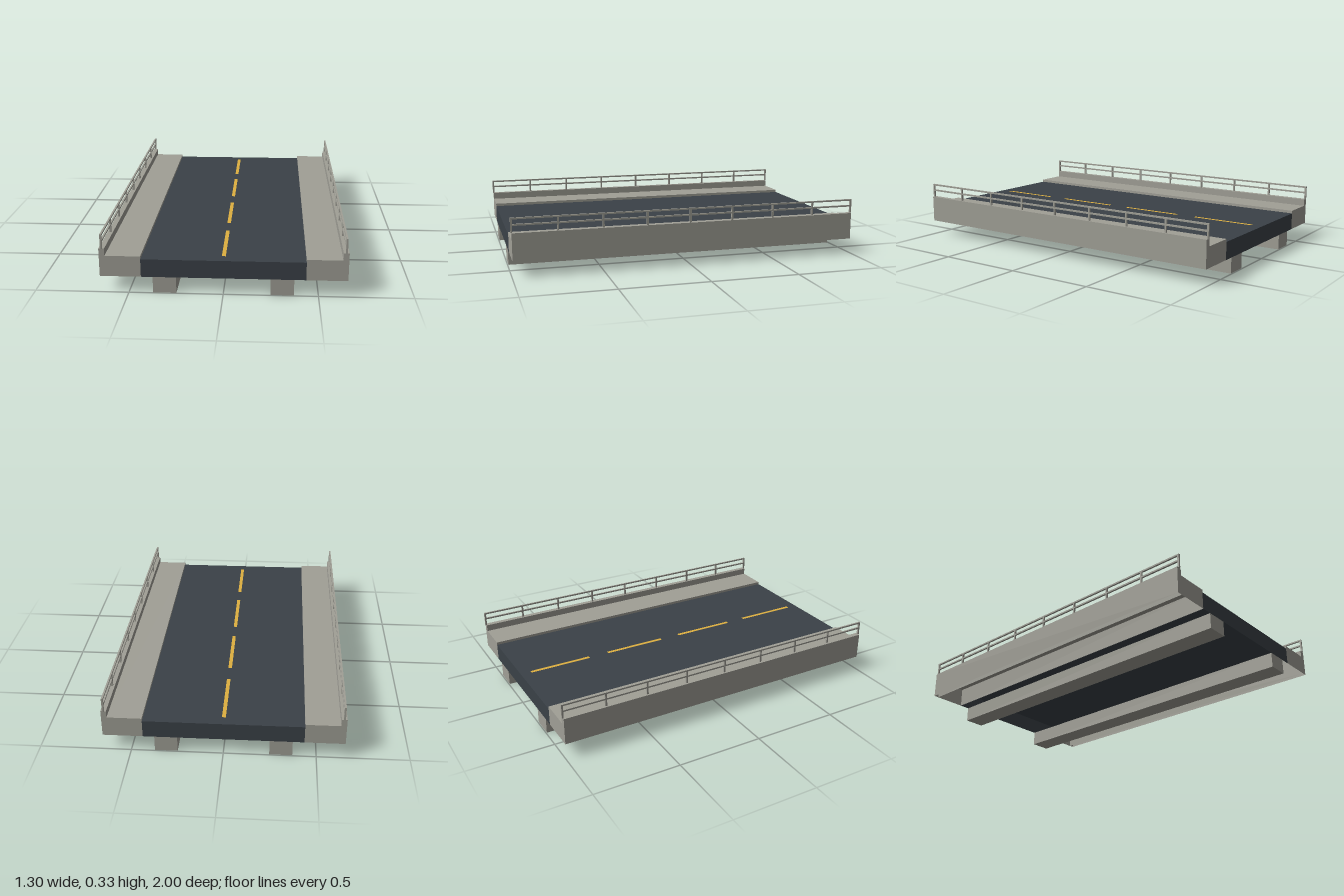
import * as THREE from 'three';

export function createModel() {
  const bridge = new THREE.Group();
  bridge.name = 'roadBridgeSection';

  const material = (name, color) => {
    const m = new THREE.MeshStandardMaterial({ color, side: THREE.DoubleSide });
    m.name = name;
    return m;
  };
  const concrete = material('concrete', 0xa09f96);
  const asphalt = material('asphalt', 0x3a4147);
  const paint = material('yellowPaint', 0xdeb040);

  const END = 0.995;
  const BASE = 0.089;
  const ROAD = 0.188;
  const WALK = 0.204;
  const PARAPET = 0.244;

  const addMesh = (parent, name, mat, geometry) => {
    const mesh = new THREE.Mesh(geometry, mat);
    mesh.name = name;
    parent.add(mesh);
    return mesh;
  };

  // Box given by its lower and upper limits on each axis
  const addBox = (parent, name, mat, [x0, x1], [y0, y1], [z0, z1]) => {
    addMesh(parent, name, mat, new THREE.BoxGeometry(x1 - x0, y1 - y0, z1 - z0))
      .position.set((x0 + x1) / 2, (y0 + y1) / 2, (z0 + z1) / 2);
  };

  // Sheet following an open cross-section along the whole length
  const addSheet = (parent, name, mat, profile) => {
    const positions = [];
    for (let i = 0; i < profile.length - 1; i++) {
      const [a, b] = [profile[i], profile[i + 1]];
      positions.push(...a, END, ...b, END, ...b, -END);
      positions.push(...a, END, ...b, -END, ...a, -END);
    }
    const geometry = new THREE.BufferGeometry();
    geometry.setAttribute('position', new THREE.Float32BufferAttribute(positions, 3));
    geometry.computeVertexNormals();
    addMesh(parent, name, mat, geometry);
  };

  // Flat plates closing both ends of a cross-section
  const addEnds = (parent, name, mat, profile) => {
    const shape = new THREE.Shape(profile.map(([x, y]) => new THREE.Vector2(x, y)));
    for (const z of [-END, END]) {
      addMesh(parent, name, mat, new THREE.ShapeGeometry(shape)).position.z = z;
    }
  };

  // Road deck, open underneath, with a dashed centre line
  addSheet(bridge, 'roadSurface', asphalt, [[-0.434, ROAD], [0.434, ROAD]]);
  addEnds(bridge, 'roadEnd', asphalt, [[-0.434, BASE], [-0.434, ROAD], [0.434, ROAD], [0.434, BASE]]);
  for (let i = 0; i < 4; i++) {
    const dash = addMesh(bridge, 'laneDash', paint, new THREE.PlaneGeometry(0.021, 0.375));
    dash.rotation.x = -Math.PI / 2;
    dash.position.set(0, ROAD + 0.0015, (i - 1.5) * 0.4975);
  }

  // Each side: hollow sidewalk with parapet, girder and railing
  for (const side of [1, -1]) {
    const half = new THREE.Group();
    half.name = side > 0 ? 'leftSide' : 'rightSide';
    const span = (a, b) => (side > 0 ? [a, b] : [-b, -a]);
    const mirror = (points) => (side > 0 ? points : points.map(([x, y]) => [-x, y]).reverse());

    // Sidewalk and parapet share one stepped cross-section, open underneath
    const profile = mirror([
      [0.434, BASE], [0.434, WALK], [0.622, WALK], [0.622, PARAPET], [0.652, PARAPET], [0.652, BASE],
    ]);
    addSheet(half, 'sidewalkAndParapet', concrete, profile);
    addEnds(half, 'sidewalkEnd', concrete, profile);
    addSheet(half, 'parapetInnerWall', concrete, mirror([[0.622, BASE], [0.622, WALK]]));

    addBox(half, 'girder', concrete, span(0.248, 0.372), [0, BASE], [-END, END]);

    // Railing posts and two rails
    const railX = span(0.632, 0.642);
    for (let i = -4; i <= 4; i++) {
      const z = (i / 4) * END;
      addBox(half, 'railingPost', concrete, railX, [PARAPET, 0.32], [z - 0.005, z + 0.005]);
    }
    for (const y of [0.286, 0.321]) {
      addBox(half, 'rail', concrete, railX, [y - 0.0045, y + 0.0045], [-1, 1]);
    }
    bridge.add(half);
  }

  return bridge;
}
